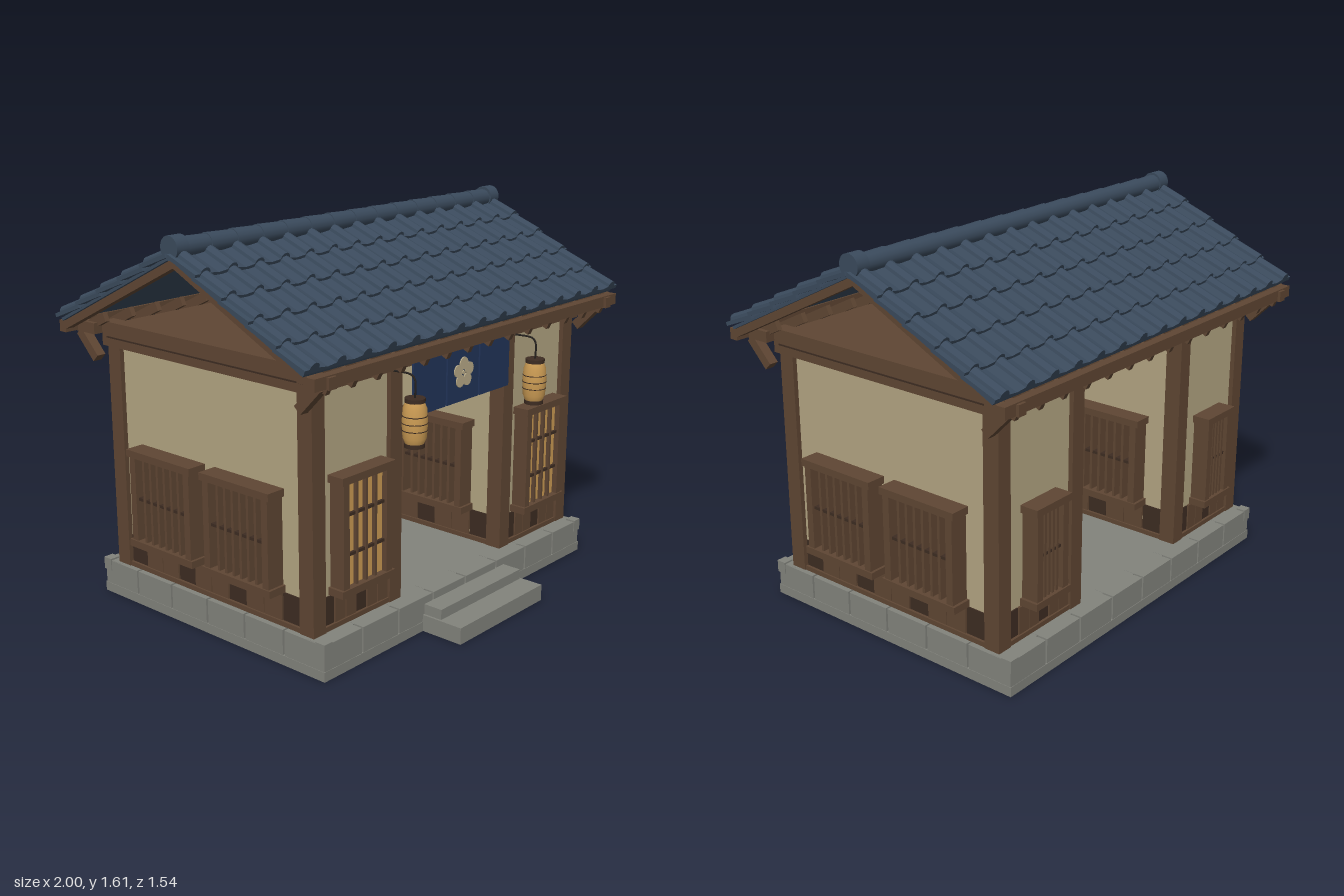
import * as THREE from 'three';

const mat = (name, color) => Object.assign(new THREE.MeshStandardMaterial({ color }), { name });
const wood = mat('timber brown', 0x5f4633);
const darkWood = mat('dark timber', 0x3d2c22);
const plaster = mat('cream plaster', 0xb3a582);
const paper = mat('amber paper', 0xcc9c54);
const stone = mat('grey stone', 0x82837c);
const tile = mat('slate blue tile', 0x3a4a5c);
const cloth = mat('navy cloth', 0x223459);
const emblem = mat('pale flower', 0xb9ab88);
const iron = mat('black iron', 0x26221f);
cloth.side = THREE.DoubleSide;

const CZ = -0.05; // centre line of the house in z

function add(parent, name, geo, material, x = 0, y = 0, z = 0) {
  const m = new THREE.Mesh(geo, material);
  m.name = name;
  m.position.set(x, y, z);
  parent.add(m);
  return m;
}
// box given by its minimum and maximum corners
function box(parent, name, material, x0, x1, y0, y1, z0, z1) {
  return add(parent, name, new THREE.BoxGeometry(x1 - x0, y1 - y0, z1 - z0), material,
    (x0 + x1) / 2, (y0 + y1) / 2, (z0 + z1) / 2);
}
function group(parent, name, x = 0, y = 0, z = 0, ry = 0) {
  const g = new THREE.Group();
  g.name = name;
  g.position.set(x, y, z);
  g.rotation.y = ry;
  parent.add(g);
  return g;
}

// Lattice window facing +z, its back on z = 0
function latticeWindow(parent, { w, y0, y1, cols, bars, paperZ, deep }) {
  const g = group(parent, 'latticeWindow');
  const h = w / 2, f = 0.032;
  box(g, 'paperPane', paper, -h + f, h - f, y0 + 0.02, y1 - 0.02, 0, paperZ);
  for (const s of [-1, 1]) {
    const c = s * (h - f / 2 - 0.012);
    box(g, 'stile', wood, c - f / 2, c + f / 2, y0, y1, 0, deep - 0.006);
  }
  box(g, 'windowHead', wood, -h, h, y1 - 0.03, y1, 0, deep);
  box(g, 'windowSill', wood, -h, h, y0, y0 + 0.03, 0, deep);
  const iw = w - 2 * f - 0.024;
  for (let i = 1; i < cols; i++) {
    const x = -iw / 2 + iw * i / cols;
    box(g, 'latticeBar', wood, x - 0.006, x + 0.006, y0 + 0.03, y1 - 0.03, 0, deep - 0.014);
  }
  for (let i = 1; i <= bars; i++) {
    const y = y0 + (y1 - y0) * i / (bars + 1);
    box(g, 'crossBar', darkWood, -iw / 2, iw / 2, y - 0.006, y + 0.006, 0, deep - 0.018);
  }
  return g;
}

// One wall face: wainscot boards, sill and windows, facing +z
function wallFace(parent, ry, dist, width, boards, windows, centres) {
  const pivot = group(parent, 'wallFace', 0, 0, 0, ry);
  const g = group(pivot, 'wallTrim', 0, 0, dist);
  const bw = width / boards;
  for (let i = 0; i < boards; i++) {
    const x = -width / 2 + i * bw, dark = i % 3 === 0;
    box(g, 'wainscotBoard', dark ? darkWood : wood, x + 0.002, x + bw - 0.002, 0.16, 0.28, 0, dark ? 0.005 : 0.009);
  }
  box(g, 'sillBeam', wood, -width / 2, width / 2, 0.145, 0.165, 0, 0.016);
  for (const c of centres) latticeWindow(g, windows).position.x = c;
}

// Closed room on one side of the passage
function wing(house, cx) {
  const g = group(house, 'wing', cx);
  const hx = 0.2525, hz = 0.565;
  box(g, 'plasterWalls', plaster, -hx + 0.02, hx - 0.02, 0.145, 1.12, -hz + 0.02, hz - 0.02);
  for (const sx of [-1, 1]) for (const sz of [-1, 1]) {
    const x = sx * (hx - 0.034), z = sz * (hz - 0.036);
    box(g, 'post', wood, x - 0.034, x + 0.034, 0.145, 1.12, z - 0.036, z + 0.036);
  }
  const side = { w: 0.375, y0: 0.28, y1: 0.695, cols: 7, bars: 1, paperZ: 0.025, deep: 0.085 };
  const front = { w: 0.3, y0: 0.285, y1: 0.76, cols: 4, bars: 2, paperZ: 0.045, deep: 0.075 };
  const back = { w: 0.21, y0: 0.28, y1: 0.695, cols: 5, bars: 1, paperZ: 0.025, deep: 0.08 };
  wallFace(g, 0, hz - 0.02, 0.37, 6, front, [0]);
  wallFace(g, Math.PI, hz - 0.02, 0.37, 6, back, [0]);
  // window pairs sit at equal distance either side of the centre line
  for (const s of [-1, 1]) wallFace(g, s * Math.PI / 2, hx - 0.02, 0.98, 10, side, [-0.215, 0.215]);
}

function stoneBase(house) {
  const g = group(house, 'stoneBase');
  const hx = 0.86, hz = 0.637;
  box(g, 'core', stone, -hx + 0.012, hx - 0.012, 0.002, 0.138, -hz + 0.012, hz - 0.012);
  box(g, 'plinth', stone, -hx, hx, 0, 0.04, -hz, hz);
  const n = { x: 8, z: 6 };
  for (const s of [-1, 1]) {
    for (let i = 0; i < n.x; i++) {
      const w = 2 * hx / n.x, x = -hx + i * w;
      const z = s * (hz - 0.05);
      box(g, 'curbStone', stone, x + 0.005, x + w - 0.005, 0.04, 0.145, z - 0.048, z + 0.048);
    }
    for (let i = 0; i < n.z; i++) {
      const w = 2 * hz / n.z, z = -hz + i * w;
      const x = s * (hx - 0.05);
      box(g, 'curbStone', stone, x - 0.048, x + 0.048, 0.04, 0.144, z + 0.005, z + w - 0.005);
    }
    for (const t of [-1, 1]) {
      const x = s * (hx - 0.02), z = t * (hz - 0.02);
      box(g, 'cornerBlock', stone, x - 0.022, x + 0.022, 0.1, 0.152, z - 0.022, z + 0.022);
    }
  }
  box(g, 'floor', stone, -hx + 0.05, hx - 0.05, 0.1, 0.144, -hz + 0.05, hz - 0.05);
  box(g, 'lowerStep', stone, -0.28, 0.28, 0, 0.07, hz - 0.02, 0.825);
  box(g, 'upperStep', stone, -0.27, 0.27, 0.002, 0.113, hz - 0.02, 0.72);
}

// Cross-section of a row of tiles: flat pans with round ribs
function tileProfile() {
  const s = new THREE.Shape(), pitch = 0.136, r = 0.024, top = 0.016;
  s.moveTo(-1, 0);
  s.lineTo(-1, top);
  for (let k = -7; k <= 7; k++) {
    for (let a = 0; a <= 6; a++) {
      const t = Math.PI * (1 - a / 6);
      s.lineTo(k * pitch + r * Math.cos(t), top + r * Math.sin(t));
    }
    if (k < 7) s.lineTo((k + 0.5) * pitch, top - 0.006);
  }
  s.lineTo(1, top);
  s.lineTo(1, 0);
  s.closePath();
  return s;
}

function roof(house) {
  const g = group(house, 'roof', 0, 1.528);
  const pitch = Math.atan(0.49), rows = 5, step = 0.148;
  const rowGeo = new THREE.ExtrudeGeometry(tileProfile(), { depth: step + 0.012, bevelEnabled: false });
  for (const ry of [0, Math.PI]) {
    const half = group(g, 'roofSide', 0, 0, 0, ry);
    const slope = group(half, 'slope');
    slope.rotation.x = pitch;
    box(slope, 'roofDeck', tile, -0.985, 0.985, -0.004, 0.008, 0, 0.74);
    for (let i = 0; i < rows; i++) add(slope, 'tileRow', rowGeo, tile, 0, 0.003, i * step).rotation.x = -0.085;
    for (const s of [-1, 1])
      box(slope, 'bargeBoard', wood, s * 0.95 - 0.02, s * 0.95 + 0.02, -0.036, -0.004, -0.012, 0.765);
    // rafter tails below the eave
    for (let k = -6.5; k <= 6.5; k++)
      box(slope, 'rafterTail', wood, k * 0.1355 - 0.011, k * 0.1355 + 0.011, -0.07, -0.03, 0.6, 0.79);
    box(half, 'eaveBoard', wood, -0.97, 0.97, -0.38, -0.333, 0.665, 0.703);
    for (const s of [-1, 1]) {
      const x = s * 0.89;
      box(half, 'bracketArm', wood, x - 0.02, x + 0.02, -0.383, -0.338, 0.56, 0.715);
      const strut = box(half, 'bracketStrut', wood, x - 0.02, x + 0.02, -0.452, -0.412, 0.54, 0.68);
      strut.rotation.x = -0.8;
    }
  }
  // ridge of overlapping round tiles
  const seg = new THREE.CylinderGeometry(0.042, 0.038, 0.14, 14).rotateZ(Math.PI / 2);
  for (let i = 0; i < 14; i++) add(g, 'ridgeTile', seg, tile, (i - 6.5) * 0.134, 0.032, 0);
  const end = new THREE.CylinderGeometry(0.047, 0.047, 0.06, 18).rotateZ(Math.PI / 2);
  for (const s of [-1, 1]) add(g, 'ridgeEnd', end, tile, s * 0.955, 0.036, 0);
}

function frameBeams(house) {
  box(house, 'ceiling', wood, -0.83, 0.83, 1.15, 1.175, -0.56, 0.56);
  for (const s of [-1, 1]) {
    box(house, 'lintel', wood, -0.83, 0.83, 1.09, 1.165, s * 0.54 - 0.035, s * 0.54 + 0.035);
    box(house, 'sideBeam', wood, s * 0.825 - 0.03, s * 0.825 + 0.03, 1.09, 1.19, -0.58, 0.58);
    box(house, 'sideBeamGroove', darkWood, s * 0.825 - 0.033, s * 0.825 + 0.033, 1.125, 1.131, -0.55, 0.55);
    box(house, 'passageBeam', wood, s * 0.37 - 0.03, s * 0.37 + 0.03, 1.09, 1.165, -0.53, 0.53);
  }
}

function curtain(root) {
  const g = group(root, 'doorCurtain', 0, 0, 0.547);
  add(g, 'curtainRod', new THREE.CylinderGeometry(0.01, 0.01, 0.68, 10).rotateZ(Math.PI / 2), darkWood, 0, 1.132, 0);
  for (let i = -1; i <= 1; i++)
    box(g, 'curtainPanel', cloth, i * 0.212 - 0.101, i * 0.212 + 0.101, 0.893, 1.122, -0.004, 0.004);
  const petal = new THREE.CylinderGeometry(0.026, 0.026, 0.006, 16).rotateX(Math.PI / 2);
  for (let i = 0; i < 5; i++) {
    const a = Math.PI / 2 + i * Math.PI * 2 / 5;
    add(g, 'petal', petal, emblem, 0.038 * Math.cos(a), 1.01 + 0.038 * Math.sin(a), 0.006);
  }
  add(g, 'flowerCentre', new THREE.CylinderGeometry(0.009, 0.009, 0.006, 12).rotateX(Math.PI / 2), emblem, 0, 1.01, 0.006);
}

function lantern(root, x) {
  const g = group(root, 'lantern', x, 0, 0.625);
  const profile = [[0.036, 0.825], [0.046, 0.85], [0.05, 0.908], [0.046, 0.966], [0.036, 0.99]];
  add(g, 'lanternBody', new THREE.LatheGeometry(profile.map(p => new THREE.Vector2(...p)), 20), paper);
  for (const y of [0.82, 0.996])
    add(g, 'lanternCap', new THREE.CylinderGeometry(0.04, 0.04, 0.016, 20), darkWood, 0, y, 0);
  for (let i = -2; i <= 2; i++) {
    const r = 0.0495 - 0.0015 * i * i;
    add(g, 'lanternRib', new THREE.TorusGeometry(r, 0.002, 6, 20).rotateX(Math.PI / 2), darkWood, 0, 0.908 + i * 0.028, 0);
  }
  const hook = new THREE.CatmullRomCurve3([[0, 1, 0], [0, 1.07, 0], [0, 1.088, -0.015], [0, 1.09, -0.12]]
    .map(p => new THREE.Vector3(...p)));
  add(g, 'lanternHook', new THREE.TubeGeometry(hook, 14, 0.004, 6), iron);
}

export function createModel() {
  const root = new THREE.Group();
  root.name = 'gatehouse';
  const house = group(root, 'house', 0, 0, CZ);
  stoneBase(house);
  for (const s of [-1, 1]) {
    wing(house, s * 0.5875);
    lantern(root, s * 0.395);
  }
  frameBeams(house);
  roof(house);
  curtain(root);
  return root;
}
